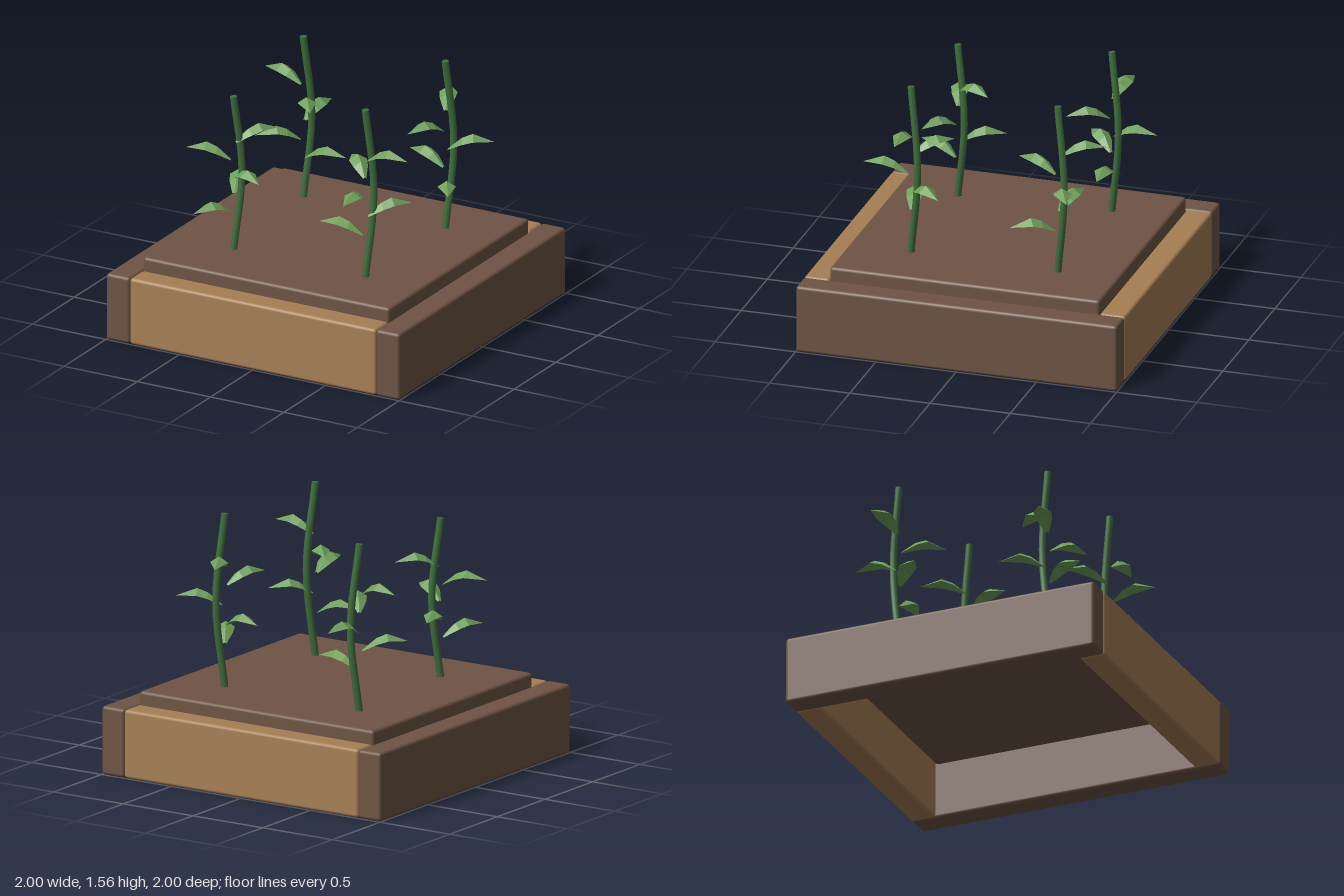
import * as THREE from 'three';
import { RoundedBoxGeometry } from 'three/addons/geometries/RoundedBoxGeometry.js';

const mat = (name, color, extra = {}) => {
  const m = new THREE.MeshStandardMaterial({ color, ...extra });
  m.name = name;
  return m;
};

// Folded leaf pointing along +x: a raised midrib with two lower edges
function leafGeometry() {
  // [distance, rib height, edge height, half width]
  const sections = [
    [0.015, 0, -0.005, 0.01],
    [0.10, 0.07, 0.04, 0.045],
    [0.165, 0.095, 0.06, 0.055],
    [0.295, 0.045, 0.045, 0],
  ];
  const pos = [], index = [];
  for (const [r, rib, edge, w] of sections) pos.push(r, edge, -w, r, rib, 0, r, edge, w);
  for (let s = 0; s < sections.length - 1; s++) {
    for (let j = 0; j < 2; j++) {
      const a = s * 3 + j, b = a + 1, c = a + 3, d = a + 4;
      if (s === sections.length - 2) index.push(a, b, j ? c : d);
      else if (j) index.push(a, b, c, b, d, c);
      else index.push(a, b, d, a, d, c);
    }
  }
  const g = new THREE.BufferGeometry();
  g.setAttribute('position', new THREE.Float32BufferAttribute(pos, 3));
  g.setIndex(index);
  const flat = g.toNonIndexed();
  flat.computeVertexNormals();
  return flat;
}

export function createModel() {
  const model = new THREE.Group();
  model.name = 'planterBed';

  const darkWood = mat('dark brown', 0x6f5444);
  const lightWood = mat('light wood', 0xa67f55);
  const stemGreen = mat('stem green', 0x3f6e3c);
  const leafGreen = mat('leaf green', 0x6f9f5a, { side: THREE.DoubleSide, flatShading: true });

  const add = (parent, name, geometry, material, x = 0, y = 0, z = 0) => {
    const mesh = new THREE.Mesh(geometry, material);
    mesh.name = name;
    mesh.position.set(x, y, z);
    parent.add(mesh);
    return mesh;
  };

  // Frame boards and soil slab
  const side = new RoundedBoxGeometry(0.16, 0.42, 2, 3, 0.02);
  const end = new RoundedBoxGeometry(1.68, 0.42, 0.16, 3, 0.02);
  add(model, 'leftBoard', side, darkWood, 0.92, 0.21, 0);
  add(model, 'rightBoard', side, darkWood, -0.92, 0.21, 0);
  add(model, 'frontBoard', end, lightWood, 0, 0.21, 0.92);
  add(model, 'backBoard', end, lightWood, 0, 0.21, -0.92);
  add(model, 'soil', new RoundedBoxGeometry(1.68, 0.16, 1.68, 3, 0.02), darkWood, 0, 0.42, 0);

  // Plants: [x, z, height above soil]
  const plants = [
    [-0.5, -0.485, 1.02],
    [0.48, -0.465, 1.06],
    [-0.44, 0.455, 0.97],
    [0.46, 0.455, 1.06],
  ];
  const leaf = leafGeometry();
  plants.forEach(([x, z, h], i) => {
    const plant = new THREE.Group();
    plant.name = 'plant' + (i + 1);
    plant.position.set(x, 0.5, z);
    model.add(plant);

    // Bowed stem with a closed top
    const curve = new THREE.CatmullRomCurve3([
      new THREE.Vector3(0, -0.01, 0),
      new THREE.Vector3(0.03, h * 0.5, -0.05),
      new THREE.Vector3(0, h, 0),
    ]);
    add(plant, 'stem', new THREE.TubeGeometry(curve, 12, 0.022, 8), stemGreen);
    const cap = add(plant, 'stemTip', new THREE.CircleGeometry(0.022, 8), stemGreen, 0, h, 0);
    cap.quaternion.setFromUnitVectors(new THREE.Vector3(0, 0, 1), curve.getTangent(1));

    // Leaves spiral up the stem
    for (let k = 0; k < 5; k++) {
      const blade = add(plant, 'leaf' + (k + 1), leaf, leafGreen, 0, h * (0.25 + 0.1125 * k), 0);
      blade.rotation.y = -(i + k * 2.4);
    }
  });
  return model;
}
